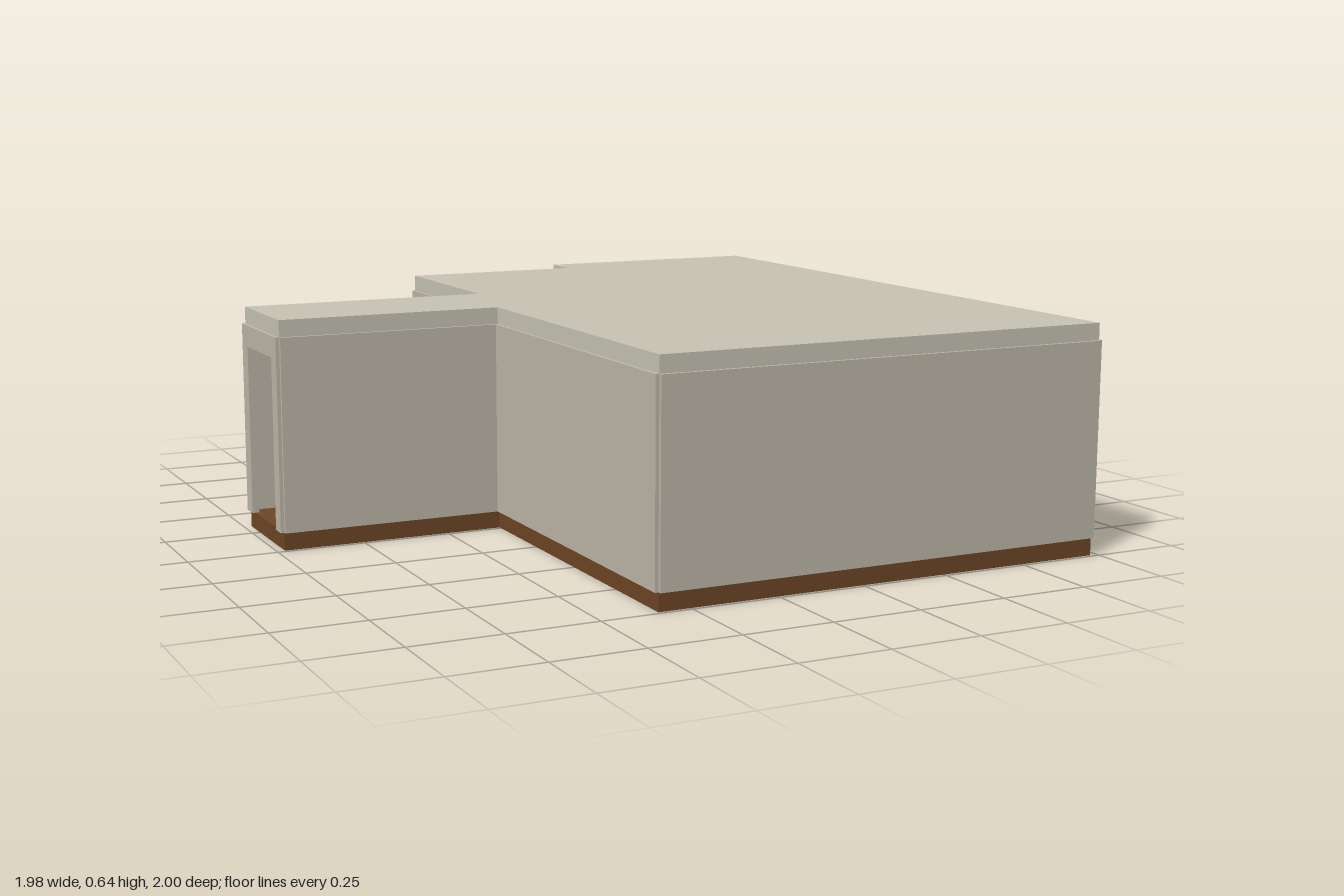
import * as THREE from 'three';

// Footprint corners (x, z), in order around the building
const PLAN = [
  [0.978, -0.99], [0.978, 0.99], [-0.34, 0.99], [-0.34, -0.01], [-0.978, -0.01],
  [-0.978, -0.335], [-0.265, -0.335], [-0.265, -0.875], [0.275, -0.875], [0.275, -0.99],
];
const BASE = 0.05, WALL_TOP = 0.59, ROOF_TOP = 0.637, THICK = 0.02;
const HEAD = 0.53, SILL = 0.21;

// Openings per wall: u0..u1 measured along the wall from its first corner
const OPENINGS = {
  0: [
    { name: 'rearWindow', u: [0.32, 0.87], sill: SILL, glass: true },
    { name: 'entranceDoor', u: [1.093, 1.322], sill: BASE, glass: true },
    { name: 'middleWindow', u: [1.382, 1.596], sill: SILL, glass: true },
    { name: 'frontWindow', u: [1.648, 1.888], sill: SILL, glass: true },
  ],
  4: [{ name: 'hallDoorway', u: [0.045, 0.275], sill: BASE, glass: false }],
};

const mat = (color) => new THREE.MeshStandardMaterial({ color });

function rectPath(u0, u1, y0, y1) {
  return new THREE.Path([[u0, y0], [u0, y1], [u1, y1], [u1, y0]].map((p) => new THREE.Vector2(...p)));
}

// Flat slab with the shape of the footprint
function slab(name, y0, y1, material) {
  const shape = new THREE.Shape(PLAN.map(([x, z]) => new THREE.Vector2(x, -z)));
  const geo = new THREE.ExtrudeGeometry(shape, { depth: y1 - y0, bevelEnabled: false });
  geo.rotateX(-Math.PI / 2).translate(0, y0, 0);
  const mesh = new THREE.Mesh(geo, material);
  mesh.name = name;
  return mesh;
}

// One wall panel centred on a footprint edge, with its openings and glass
function wall(index, wallMat, glassMat) {
  const [ax, az] = PLAN[index];
  const [bx, bz] = PLAN[(index + 1) % PLAN.length];
  const length = Math.hypot(bx - ax, bz - az);
  const openings = OPENINGS[index] || [];

  const group = new THREE.Group();
  group.name = 'wall' + (index + 1);
  group.position.set(ax, 0, az);
  group.rotation.y = Math.atan2(-(bz - az), bx - ax);

  // Doors notch the bottom edge, windows are holes
  const shape = new THREE.Shape();
  shape.moveTo(0, BASE);
  for (const { u, sill } of openings) {
    if (sill > BASE) shape.holes.push(rectPath(u[0], u[1], sill, HEAD));
    else shape.lineTo(u[0], BASE).lineTo(u[0], HEAD).lineTo(u[1], HEAD).lineTo(u[1], BASE);
  }
  shape.lineTo(length, BASE).lineTo(length, WALL_TOP).lineTo(0, WALL_TOP);
  shape.closePath();

  const geo = new THREE.ExtrudeGeometry(shape, { depth: THICK, bevelEnabled: false });
  geo.translate(0, 0, -THICK / 2);
  const panel = new THREE.Mesh(geo, wallMat);
  panel.name = 'wallPanel';
  group.add(panel);

  // Panes sit in the middle of the wall; the door leaf clears the floor
  for (const { name, u, sill, glass } of openings) {
    if (!glass) continue;
    const y0 = sill > BASE ? sill : BASE + 0.02;
    const pane = new THREE.Mesh(new THREE.BoxGeometry(u[1] - u[0], HEAD - y0, 0.006), glassMat);
    pane.name = name;
    pane.position.set((u[0] + u[1]) / 2, (HEAD + y0) / 2, 0);
    group.add(pane);
  }
  return group;
}

export function createModel() {
  const house = new THREE.Group();
  house.name = 'house';
  const wallMat = mat(0xc0b8aa), glassMat = mat(0x9dbac0);

  house.add(slab('floor', 0, BASE, mat(0x6f4626)));
  PLAN.forEach((_, i) => house.add(wall(i, wallMat, glassMat)));
  house.add(slab('roof', WALL_TOP, ROOF_TOP, mat(0xc8c5b6)));
  return house;
}
